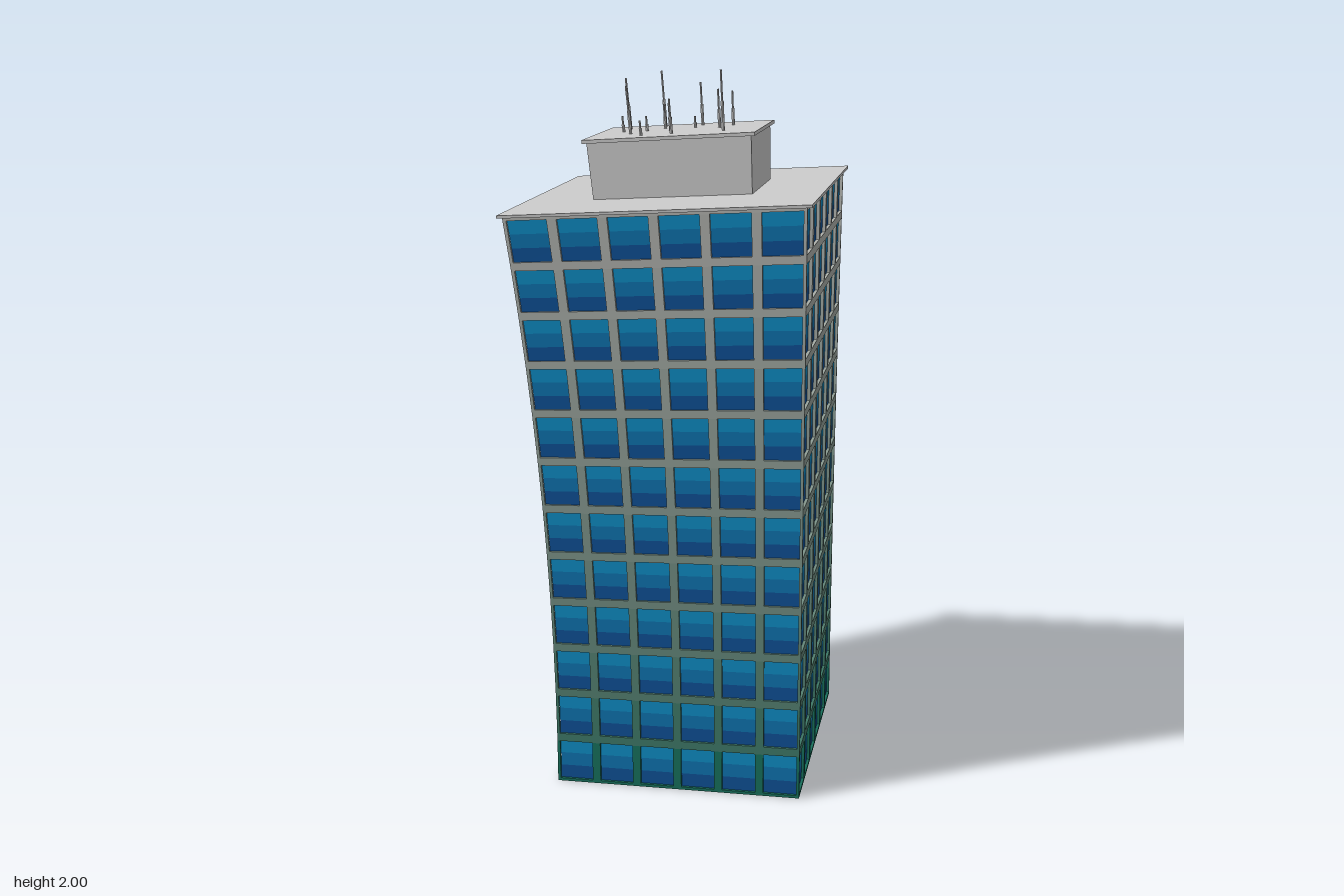
import * as THREE from 'three';
import { mergeGeometries } from 'three/addons/utils/BufferGeometryUtils.js';

const HX = 0.3475, HZ = 0.4;       // half width and half depth at the ground
const WALL = 1.65;                 // wall height
const COLS = 6, ROWS = 12, BANDS = 3;
const GAP = 0.023, EDGE = 0.008, DEPTH = 0.011;

// The tower flares outwards and leans towards -x as it rises.
const flare = (t) => 1 + 0.17 * t * t;
const lean = (t) => 0.0525 - 0.052 * t * t;
const tilt = (t) => 0.057 * t;

function warp(geometry) {
  const p = geometry.attributes.position;
  for (let i = 0; i < p.count; i++) {
    const t = p.getY(i) / WALL;
    const x = p.getX(i) * flare(t);
    p.setXYZ(i, lean(t) + x, p.getY(i) + tilt(t) * x, p.getZ(i) * flare(t));
  }
  geometry.computeVertexNormals();
  return geometry;
}

const box = (x, y, z, w, h, d) => warp(new THREE.BoxGeometry(w, h, d).translate(x, y, z));

// Box lying in one of the four walls: u along the wall, inset from its outer face.
function wallBox(wall, u, y, w, h, inset, thick) {
  const s = wall.sign, off = inset + thick / 2;
  return wall.side
    ? box(s * (HX - off), y, u, thick, h, w)
    : box(u, y, s * (HZ - off), w, h, thick);
}

const walls = [
  { side: false, sign: 1, half: HX },
  { side: false, sign: -1, half: HX },
  { side: true, sign: 1, half: HZ },
  { side: true, sign: -1, half: HZ },
];

export function createModel() {
  const group = new THREE.Group();
  const material = (color) => new THREE.MeshStandardMaterial({ color });
  const add = (name, geometries, mat) => {
    const mesh = new THREE.Mesh(mergeGeometries(geometries), mat);
    mesh.name = name;
    group.add(mesh);
  };
  const mix = (a, b, k) => new THREE.Color(a).lerp(new THREE.Color(b), k);
  const grey = material(0xcccccc);

  // Window grid: bars fade from green at the ground to grey at the roof
  const paneH = (WALL - 2 * EDGE - (ROWS - 1) * GAP) / ROWS;
  const glass = Array.from({ length: BANDS }, () => []);
  for (let r = 0; r <= ROWS; r++) {
    const bars = [];
    const y0 = EDGE + r * (paneH + GAP);
    const end = r === 0 || r === ROWS;
    const barH = end ? EDGE : GAP;
    const barY = r === 0 ? EDGE / 2 : r === ROWS ? WALL - EDGE / 2 : y0 - GAP / 2;
    for (const wall of walls) {
      // Horizontal bar
      const length = 2 * wall.half - (wall.side ? 2 * DEPTH : 0);
      bars.push(wallBox(wall, 0, barY, length, barH, 0, DEPTH));
      if (r === ROWS) continue;
      // Upright bars and panes of this storey
      const paneW = (2 * wall.half - 2 * EDGE - (COLS - 1) * GAP) / COLS;
      for (let c = 0; c <= COLS; c++) {
        const u0 = -wall.half + EDGE + c * (paneW + GAP);
        const corner = c === 0 || c === COLS;
        const barU = c === 0 ? -wall.half + EDGE / 2 : c === COLS ? wall.half - EDGE / 2 : u0 - GAP / 2;
        if (!(corner && wall.side)) {
          bars.push(wallBox(wall, barU, y0 + paneH / 2, corner ? EDGE : GAP, paneH, 0, corner ? EDGE : DEPTH));
        }
        if (c === COLS) continue;
        for (let b = 0; b < BANDS; b++) {
          const h = paneH / BANDS;
          glass[b].push(wallBox(wall, u0 + paneW / 2, y0 + (b + 0.5) * h, paneW, h, EDGE, 0.001));
        }
      }
    }
    add(`windowFrameRow${r + 1}`, bars, material(mix(0x17705c, 0xb8b8b4, r / ROWS)));
  }
  glass.forEach((panes, b) =>
    add(`windowGlassBand${b + 1}`, panes, material(mix(0x0e5096, 0x0e8cc4, b / (BANDS - 1)))));

  // Flat roof, rooftop housing and its lid
  add('roof', [box(0, WALL + 0.004, 0, 0.718, 0.008, 0.812)], grey);
  add('rooftopHousing', [box(0, 1.735, 0, 0.38, 0.16, 0.316)], grey);
  add('rooftopHousingLid', [box(0, 1.82, 0, 0.398, 0.01, 0.332)], grey);

  // Aerials: [x, z, tip height], thick lower half and thin upper half
  const aerials = [
    [-0.19, -0.11, 1.96], [-0.093, -0.147, 1.98], [0.022, -0.14, 1.95], [-0.074, -0.08, 1.89],
    [0.021, -0.052, 1.86], [0.122, -0.09, 1.93], [-0.181, -0.016, 1.86], [-0.113, -0.018, 1.86],
    [-0.042, 0.015, 1.9], [0.094, -0.009, 1.94], [-0.154, 0.061, 1.95], [-0.101, 0.132, 1.86],
    [-0.022, 0.118, 1.92], [0.12, 0.104, 2.0],
  ];
  const base = 1.822;
  const poles = aerials.flatMap(([x, z, tip]) => {
    const t = tip / WALL;
    const lx = (x - lean(t)) / flare(t), lz = z / flare(t);
    const top = tip - tilt(t) * (x - lean(t));
    const mid = (base + top) / 2;
    const pole = (r, a, b) => warp(new THREE.CylinderGeometry(r, r, b - a, 6).translate(lx, (a + b) / 2, lz));
    return [pole(0.0038, base, mid), pole(0.0024, mid, top)];
  });
  add('aerials', poles, grey);

  return group;
}
